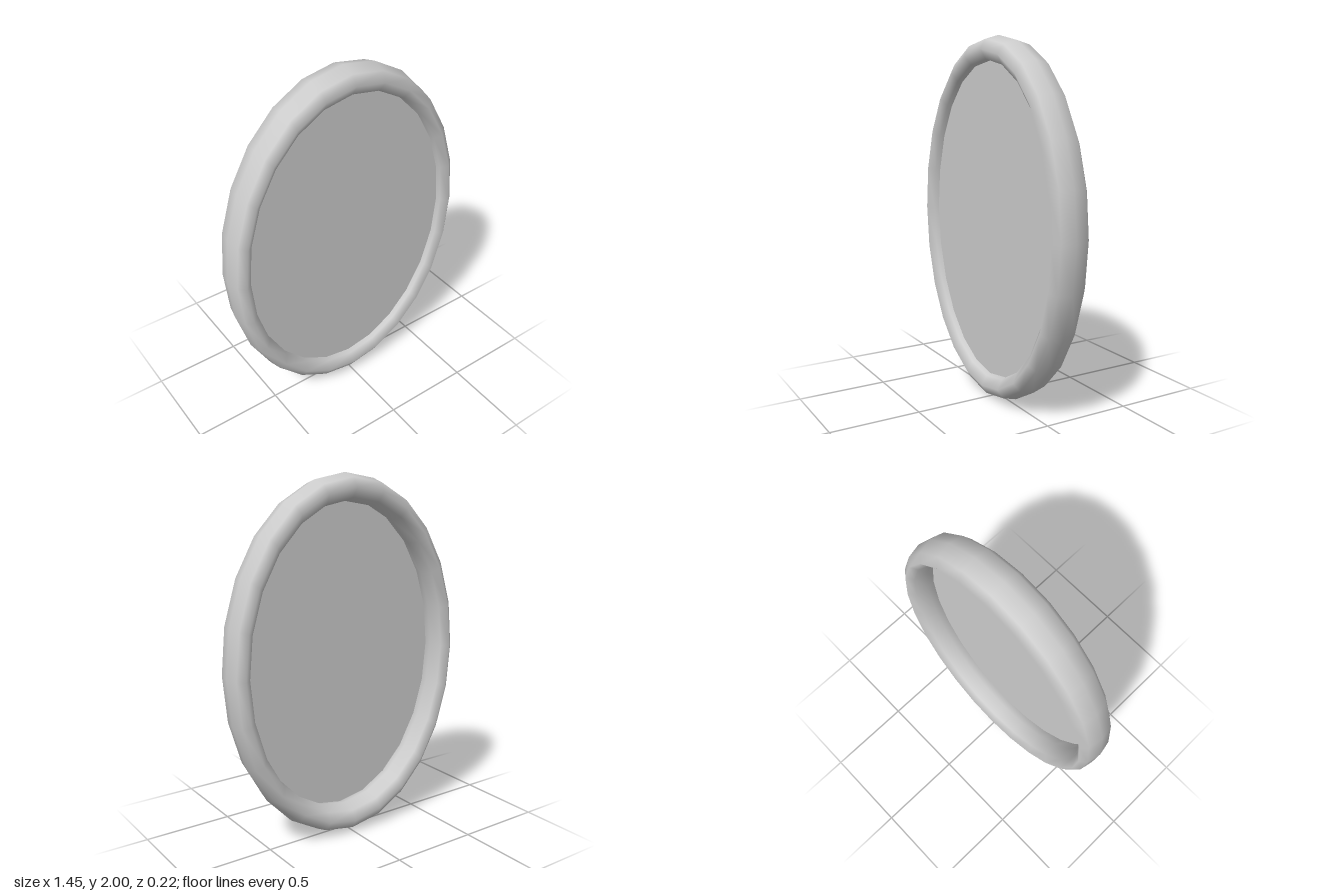
import * as THREE from 'three';

export function createModel() {
  const model = new THREE.Group();
  model.name = 'ovalMirror';

  const grey = new THREE.MeshStandardMaterial({ color: 0xcccccc });
  grey.name = 'plain grey';

  const RADIUS = 0.926, TUBE = 0.074; // ring measured along the tall axis
  const WIDTH = 0.726, DEPTH = 1.5;   // squash to an oval, deepen the rim

  function addPart(name, geometry, z = 0) {
    const mesh = new THREE.Mesh(geometry, grey);
    mesh.name = name;
    mesh.position.set(0, 1, z);
    model.add(mesh);
  }

  // Rounded oval rim
  addPart('frame', new THREE.TorusGeometry(RADIUS, TUBE, 8, 24).scale(WIDTH, 1, DEPTH));

  // Thin flat pane set toward the front, its edge tucked inside the rim
  const pane = new THREE.CylinderGeometry(0.915, 0.915, 0.004, 24);
  pane.rotateX(Math.PI / 2).rotateZ(Math.PI / 24 * 2).scale(WIDTH, 1, 1);
  addPart('mirrorPane', pane, 0.05);

  return model;
}
